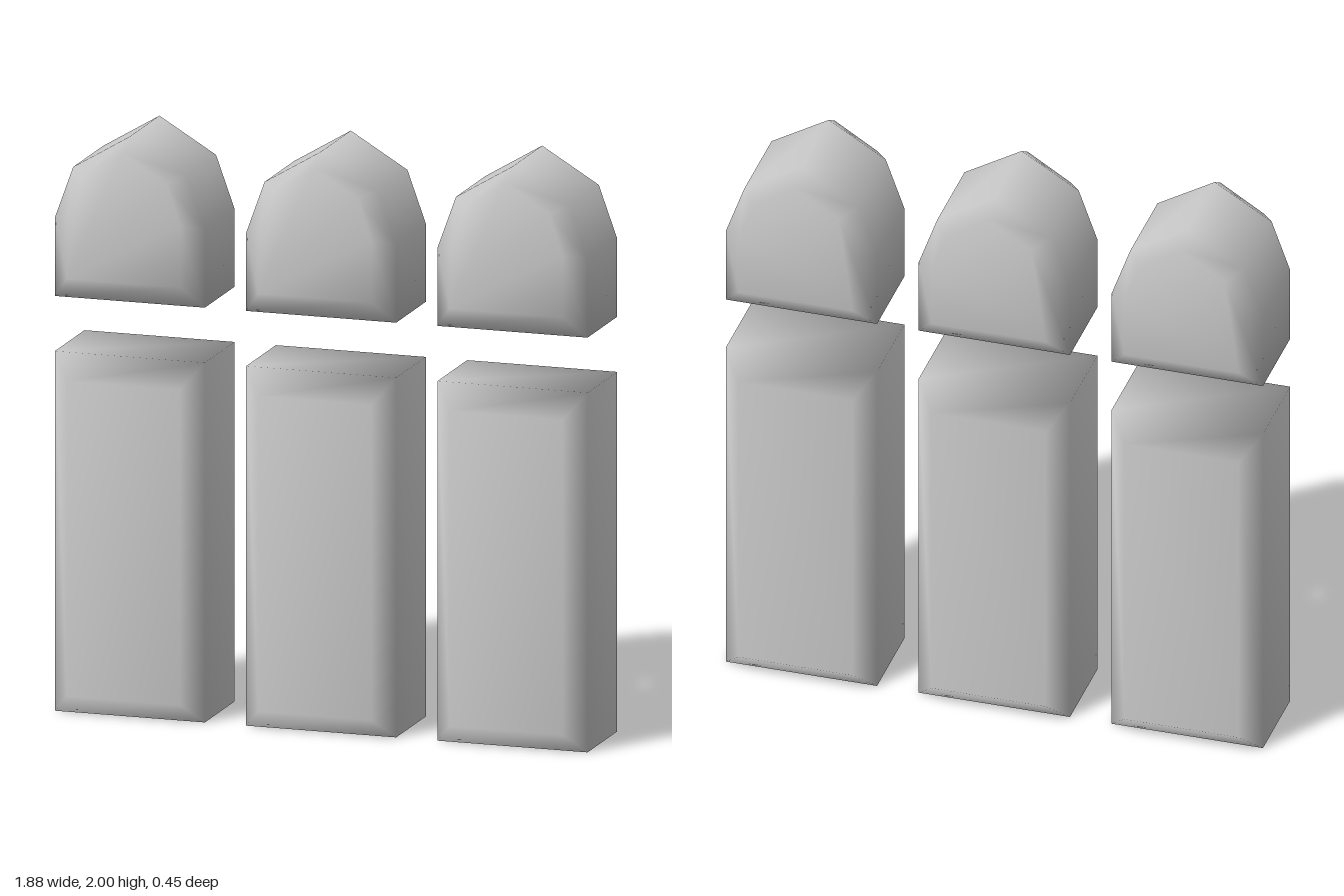
import * as THREE from 'three';

const material = new THREE.MeshStandardMaterial({ color: 0xcccccc });

// Lofts a counter-clockwise outline through z, chamfered to a smaller face front and back.
// Shared vertices give soft normals over the whole block.
function chamferedBlock(outline, faceBottom, faceTop) {
  const ys = outline.map(p => p[1]);
  const bottom = Math.min(...ys), top = Math.max(...ys);
  const inset = ([x, y]) => [
    x * 0.755,
    THREE.MathUtils.mapLinear(y, bottom, top, faceBottom, faceTop)
  ];
  const rings = [[-0.225, true], [-0.157, false], [0.157, false], [0.225, true]];
  const n = outline.length;
  const positions = [], index = [];
  for (const [z, isFace] of rings) {
    for (const p of outline) positions.push(...(isFace ? inset(p) : p), z);
  }
  // Sides and chamfers
  for (let r = 0; r < rings.length - 1; r++) {
    for (let i = 0; i < n; i++) {
      const a = r * n + i, b = r * n + (i + 1) % n;
      index.push(a, b, b + n, a, b + n, a + n);
    }
  }
  // Back and front faces
  const front = (rings.length - 1) * n;
  for (let i = 1; i < n - 1; i++) {
    index.push(0, i + 1, i);
    index.push(front, front + i, front + i + 1);
  }
  const geometry = new THREE.BufferGeometry();
  geometry.setAttribute('position', new THREE.Float32BufferAttribute(positions, 3));
  geometry.setIndex(index);
  geometry.computeVertexNormals();
  return geometry;
}

export function createModel() {
  const group = new THREE.Group();
  group.name = 'picketRow';

  const w = 0.265;
  const postGeometry = chamferedBlock(
    [[-w, 0], [w, 0], [w, 1.24], [-w, 1.24]], 0.07, 1.157);
  const capGeometry = chamferedBlock(
    [[-w, 1.43], [w, 1.43], [w, 1.7], [0.2, 1.88], [0, 2], [-0.2, 1.88], [-w, 1.7]], 1.51, 1.957);

  // Three posts, each with a pointed cap floating above it
  ['right', 'middle', 'left'].forEach((side, i) => {
    const picket = new THREE.Group();
    picket.name = side + 'Picket';
    picket.position.x = (i - 1) * 0.676;
    const post = new THREE.Mesh(postGeometry, material);
    post.name = 'post';
    const cap = new THREE.Mesh(capGeometry, material);
    cap.name = 'pointedCap';
    picket.add(post, cap);
    group.add(picket);
  });
  return group;
}
